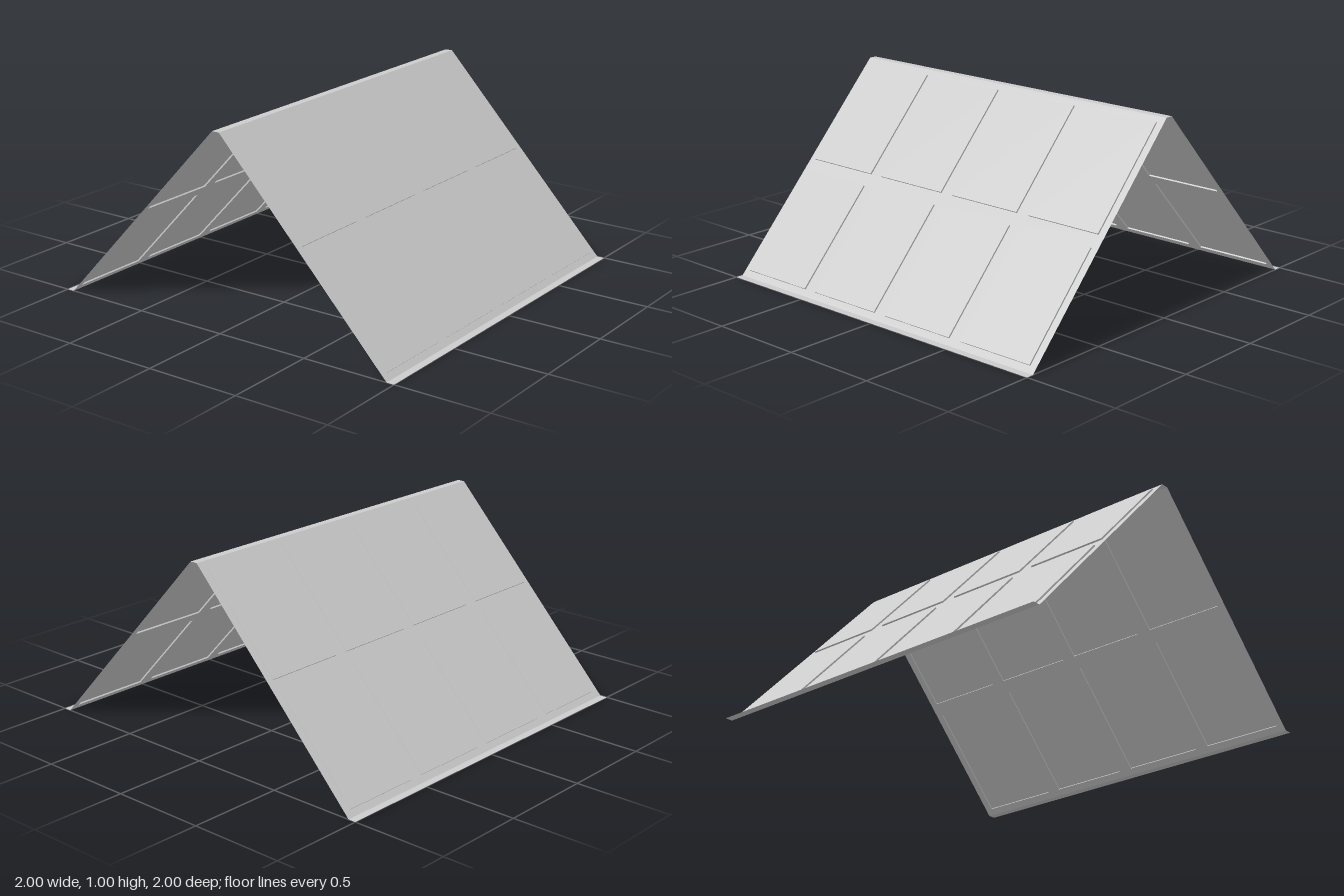
import * as THREE from 'three';

const EAVE_X = 0.96, RIDGE_X = 0.02, HEIGHT = 1, LENGTH = 2, RAISE = 0.008;
const RUN = EAVE_X - RIDGE_X;
const SLOPE = Math.hypot(RUN, HEIGHT);

const material = new THREE.MeshStandardMaterial({
  color: 0xcccccc, flatShading: true, side: THREE.DoubleSide,
});

function part(geometry, name, parent) {
  const mesh = new THREE.Mesh(geometry, material);
  mesh.name = name;
  parent.add(mesh);
  return mesh;
}

function rectangle(target, cx, cy, w, h) {
  target.moveTo(cx - w / 2, cy - h / 2);
  target.lineTo(cx + w / 2, cy - h / 2);
  target.lineTo(cx + w / 2, cy + h / 2);
  target.lineTo(cx - w / 2, cy + h / 2);
  target.closePath();
  return target;
}

// One pitched side: a thin sheet with two rows of four embossed panels.
// Local x runs along the ridge, y up the slope and z outward.
function createSlope(name) {
  const slope = new THREE.Group();
  slope.name = name;
  const sheet = rectangle(new THREE.Shape(), 0, SLOPE / 2, LENGTH, SLOPE);
  const w = 0.425, h = 0.447 * SLOPE;

  for (const row of [0.25, 0.75]) {
    for (const x of [-0.75, -0.25, 0.25, 0.75]) {
      const y = row * SLOPE;
      sheet.holes.push(rectangle(new THREE.Path(), x, y, w, h));
      // Shallow box left open on its underside
      const box = new THREE.BoxGeometry(w, h, RAISE);
      box.setIndex(Array.from(box.index.array).slice(0, 30));
      box.clearGroups();
      part(box, 'raisedPanel', slope).position.set(x, y, RAISE / 2);
    }
  }
  part(new THREE.ShapeGeometry(sheet), 'slopeSheet', slope);

  const along = new THREE.Vector3(0, 0, -1);
  const up = new THREE.Vector3(-RUN, HEIGHT, 0).normalize();
  const out = new THREE.Vector3().crossVectors(along, up);
  slope.quaternion.setFromRotationMatrix(new THREE.Matrix4().makeBasis(along, up, out));
  slope.position.x = EAVE_X;
  return slope;
}

// Flat horizontal strip running the full length
function strip(width) {
  return new THREE.PlaneGeometry(width, LENGTH).rotateX(-Math.PI / 2);
}

export function createModel() {
  const roof = new THREE.Group();
  roof.name = 'roof';

  // Two mirrored sides, each with a flat lip at the eave
  for (const [side, angle] of [['left', 0], ['right', Math.PI]]) {
    const half = new THREE.Group();
    half.name = side + 'Half';
    half.rotation.y = angle;
    half.add(createSlope(side + 'Slope'));
    part(strip(1 - EAVE_X), 'eaveLip', half).position.x = (1 + EAVE_X) / 2;
    roof.add(half);
  }

  // Narrow flat cap joining the slopes
  part(strip(2 * RIDGE_X), 'ridgeCap', roof).position.y = HEIGHT;
  return roof;
}
